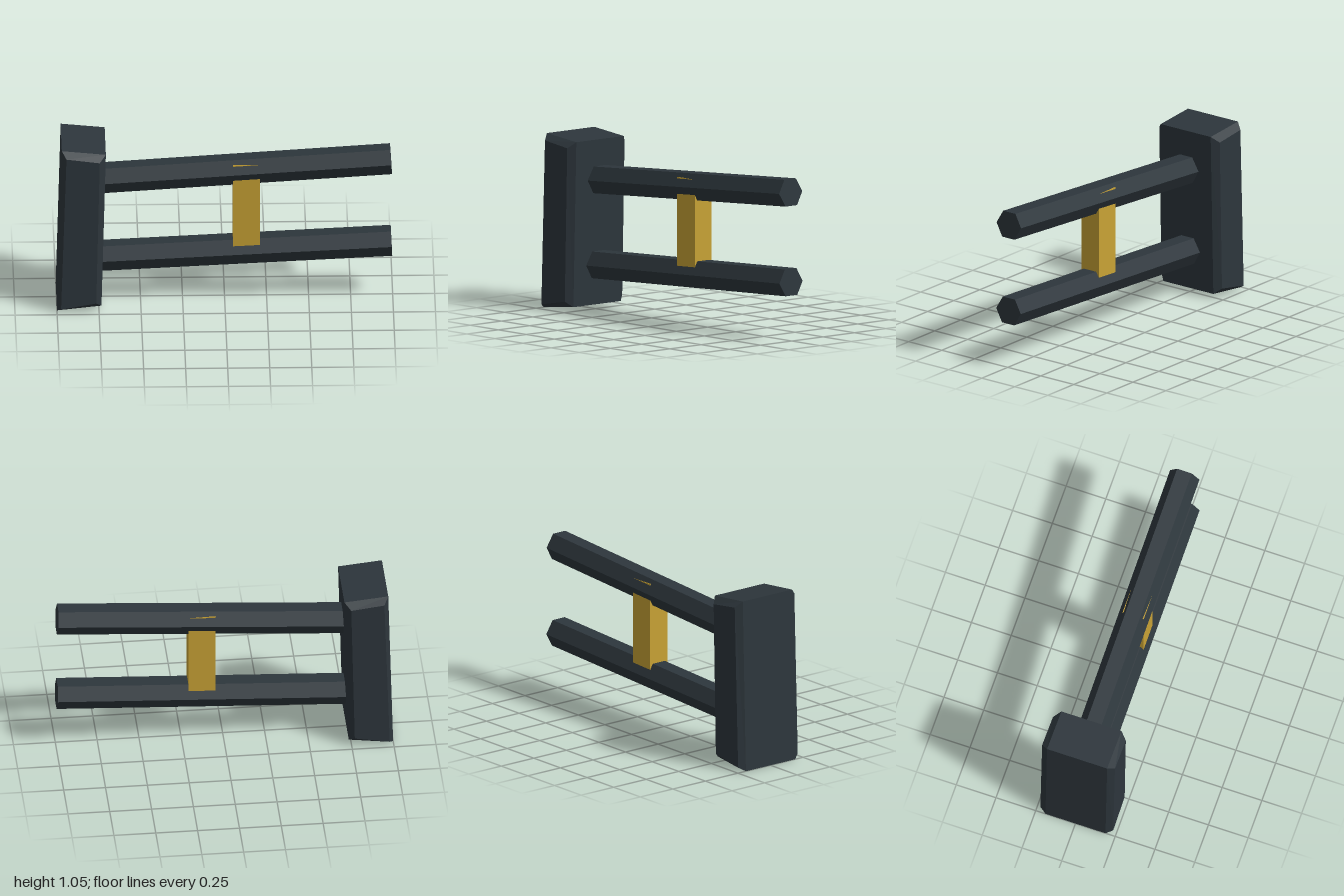
import * as THREE from 'three';

const darkSteel = new THREE.MeshStandardMaterial({ color: 0x2d363c });
darkSteel.name = 'darkSteel';
const gold = new THREE.MeshStandardMaterial({ color: 0xc9a335 });
gold.name = 'gold';

// Hard-edged facets
function faceted(geometry) {
  const flat = geometry.index ? geometry.toNonIndexed() : geometry;
  flat.computeVertexNormals();
  return flat;
}

function addMesh(group, name, geometry, material) {
  const mesh = new THREE.Mesh(faceted(geometry), material);
  mesh.name = name;
  group.add(mesh);
  return mesh;
}

// Slightly skewed block: four-cornered sections stacked along z, smaller at both ends
function blockGeometry() {
  const outer = [[-1, 0], [-0.735, 0.029], [-0.709, 1.024], [-0.971, 1.05]];
  const inset = [[-0.976, 0.024], [-0.767, 0.062], [-0.746, 0.987], [-0.944, 1.013]];
  const sections = [[inset, -0.229], [outer, -0.189], [outer, 0.189], [inset, 0.229]];
  const positions = [];
  const index = [];
  for (const [loop, z] of sections) {
    for (const [x, y] of loop) positions.push(x, y, z);
  }
  for (let s = 0; s < 3; s++) {
    for (let i = 0; i < 4; i++) {
      const a = s * 4 + i, b = s * 4 + (i + 1) % 4;
      index.push(a, b, b + 4, a, b + 4, a + 4);
    }
  }
  index.push(0, 2, 1, 0, 3, 2, 12, 13, 14, 12, 14, 15);
  const geometry = new THREE.BufferGeometry();
  geometry.setAttribute('position', new THREE.Float32BufferAttribute(positions, 3));
  geometry.setIndex(index);
  return geometry;
}

// Six-sided bar running back from its free end into the block
function addBar(group, name, endX, endY, slope) {
  const length = 1.85;
  const geometry = new THREE.CylinderGeometry(0.0925, 0.0925, length, 6);
  geometry.rotateZ(-Math.PI / 2);
  geometry.translate(-length / 2, 0, 0);
  const bar = addMesh(group, name, geometry, darkSteel);
  bar.position.set(endX, endY, 0);
  bar.rotation.z = Math.atan(slope);
}

export function createModel() {
  const model = new THREE.Group();
  model.name = 'twinBarBracket';

  addMesh(model, 'endBlock', blockGeometry(), darkSteel);
  addBar(model, 'upperBar', 0.99, 0.892, 0.064);
  addBar(model, 'lowerBar', 0.993, 0.353, 0.048);

  // Upright brace joining the bars
  const brace = addMesh(model, 'brace', new THREE.BoxGeometry(0.16, 0.608, 0.132), gold);
  brace.position.set(0.129, 0.584, 0);

  return model;
}
